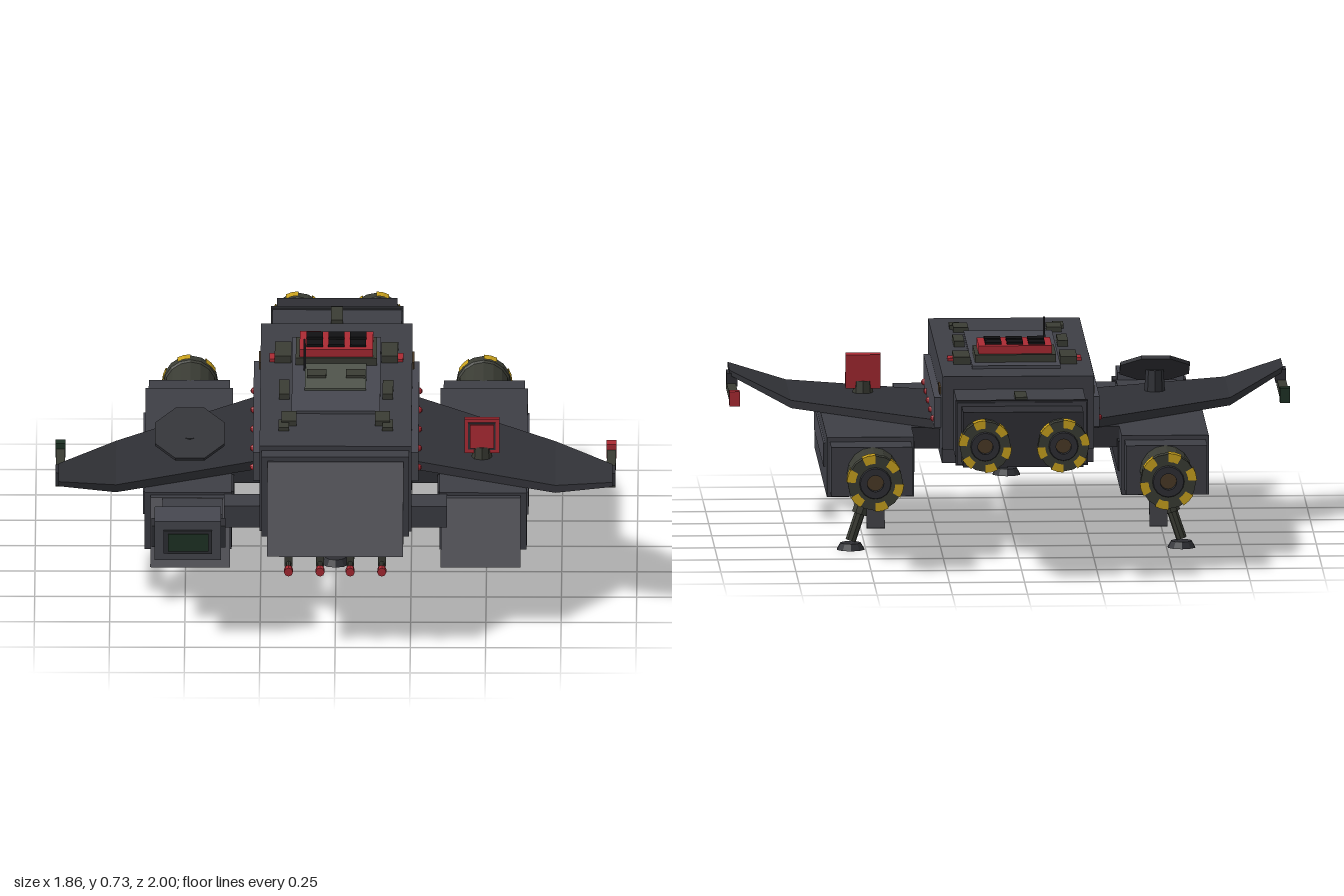
import * as THREE from 'three';

const mat = (color) => new THREE.MeshStandardMaterial({ color, flatShading: true, side: THREE.DoubleSide });
const HULL = mat(0x3d3e45), DARK = mat(0x2e2f34), WING = mat(0x303136), PANEL = mat(0x46474f),
  OLIVE = mat(0x3a3c34), DECK = mat(0x4f544b), RED = mat(0xaa2a33), YELLOW = mat(0xc8a11e),
  BLACK = mat(0x111113), GREEN = mat(0x1f3326), BROWN = mat(0x4a3a26);

function add(parent, name, geometry, material) {
  const mesh = new THREE.Mesh(geometry, material);
  mesh.name = name;
  parent.add(mesh);
  return mesh;
}

// Box given by its limits on each axis
function box(parent, name, material, [x0, x1], [y0, y1], [z0, z1]) {
  const m = add(parent, name, new THREE.BoxGeometry(x1 - x0, y1 - y0, z1 - z0), material);
  m.position.set((x0 + x1) / 2, (y0 + y1) / 2, (z0 + z1) / 2);
  return m;
}

// Side profile of [z, y] points swept across x
function profile(parent, name, material, [x0, x1], points) {
  const shape = new THREE.Shape(points.map(([z, y]) => new THREE.Vector2(z, y)));
  const g = new THREE.ExtrudeGeometry(shape, { depth: x1 - x0, bevelEnabled: false });
  g.rotateY(-Math.PI / 2).translate(x1, 0, 0);
  return add(parent, name, g, material);
}

// Round bar between two points
function rod(parent, name, material, a, b, r0, r1 = r0, sides = 8) {
  const from = new THREE.Vector3(...a), to = new THREE.Vector3(...b), dir = to.clone().sub(from);
  const m = add(parent, name, new THREE.CylinderGeometry(r1, r0, dir.length(), sides), material);
  m.position.copy(from).add(to).multiplyScalar(0.5);
  m.quaternion.setFromUnitVectors(new THREE.Vector3(0, 1, 0), dir.normalize());
  return m;
}

const lathe = (pts, sides, start = 0, length = Math.PI * 2) =>
  new THREE.LatheGeometry(pts.map(([r, y]) => new THREE.Vector2(r, y)), sides, start, length);

// Engine with a recessed nozzle and striped rear collar, pointing to -z
function engine(parent, x, y, z, r, len) {
  const g = new THREE.Group();
  g.name = 'engine';
  g.position.set(x, y, z);
  g.rotation.x = -Math.PI / 2;
  parent.add(g);
  add(g, 'engineBarrel', lathe([[r * 0.93, 0], [r * 0.93, len - 0.05], [r, len - 0.045], [r, len - 0.004],
    [r * 0.5, len - 0.004], [r * 0.4, len - 0.04], [0, len - 0.04]], 16), OLIVE);
  add(g, 'nozzleRing', lathe([[r * 0.3, len - 0.03], [r * 0.3, len + 0.006], [r * 0.55, len + 0.006], [r * 0.6, len - 0.01]], 16), DARK);
  add(g, 'nozzleCore', lathe([[0, len - 0.02], [r * 0.3, len - 0.02]], 16), BROWN);
  for (let i = 0; i < 6; i++) {
    add(g, 'hazardStripe', lathe([[r * 0.72, len], [r + 0.003, len], [r + 0.003, len - 0.042]], 2,
      (i * Math.PI) / 3, Math.PI / 6.5), YELLOW);
  }
}

// Wing lofted through sections of [x, leading z, trailing z, y, thickness]
function wing(parent) {
  const sections = [[0.24, -0.3, 0.35, 0.415, 0.03], [0.73, 0.16, 0.595, 0.415, 0.026], [0.92, 0.51, 0.69, 0.465, 0.016]];
  const pos = [], idx = [];
  for (const [x, zl, zt, y, t] of sections) {
    pos.push(x, y - t / 2, zl, x, y + t / 2, zl, x, y + t / 2, zt, x, y - t / 2, zt);
  }
  for (let s = 0; s < 2; s++) {
    for (let k = 0; k < 4; k++) {
      const a = s * 4 + k, b = s * 4 + ((k + 1) % 4);
      idx.push(a, b, b + 4, a, b + 4, a + 4);
    }
  }
  idx.push(0, 3, 2, 0, 2, 1, 8, 9, 10, 8, 10, 11);
  const g = new THREE.BufferGeometry();
  g.setAttribute('position', new THREE.Float32BufferAttribute(pos, 3));
  g.setIndex(idx);
  g.computeVertexNormals();
  add(parent, 'wing', g, WING);
}

// Leg with a strut and a round foot
function landingGear(parent, top, foot) {
  const [x, y, z] = foot;
  const ankle = [x, y + 0.03, z];
  const mid = top.map((v, i) => (v + ankle[i]) / 2);
  rod(parent, 'legUpper', OLIVE, top, mid, 0.027);
  rod(parent, 'legLower', OLIVE, mid, ankle, 0.018);
  rod(parent, 'foot', DARK, [x, y, z], [x, y + 0.022, z], 0.048, 0.035, 10);
}

// Everything that exists on both sides
function buildSide(name, tipMaterial) {
  const g = new THREE.Group();
  g.name = name;
  wing(g);
  // Wing tip lance
  box(g, 'tipLance', OLIVE, [0.9, 0.93], [0.405, 0.43], [0.24, 0.55]);
  box(g, 'tipMount', DARK, [0.895, 0.93], [0.42, 0.465], [0.5, 0.58]);
  box(g, 'tipLight', tipMaterial, [0.898, 0.932], [0.4, 0.45], [0.21, 0.25]);
  // Nacelle
  box(g, 'nacelleBody', HULL, [0.345, 0.635], [0.2, 0.4], [-0.44, 0.59]);
  box(g, 'nacelleRear', HULL, [0.355, 0.625], [0.22, 0.385], [-0.56, -0.44]);
  profile(g, 'nacelleNose', HULL, [0.35, 0.615], [[0.59, 0.2], [0.77, 0.2], [0.615, 0.39], [0.59, 0.39]]);
  box(g, 'nacelleSidePanel', PANEL, [0.63, 0.641], [0.28, 0.36], [-0.31, 0.47]);
  box(g, 'nacelleInnerPanel', DARK, [0.338, 0.35], [0.26, 0.36], [-0.31, 0.47]);
  engine(g, 0.487, 0.3, -0.55, 0.092, 0.235);
  landingGear(g, [0.49, 0.21, -0.29], [0.55, 0, -0.295]);
  const door = box(g, 'gearDoor', DARK, [0.44, 0.5], [0.08, 0.2], [-0.368, -0.36]);
  door.rotation.x = 0.42;
  // Links to the hull
  box(g, 'frontStrut', HULL, [0.22, 0.37], [0.32, 0.395], [0.59, 0.71]);
  box(g, 'rearStrut', DARK, [0.24, 0.36], [0.33, 0.4], [-0.25, 0.3]);
  // Hull side rail and lamps
  box(g, 'sideRail', PANEL, [0.24, 0.275], [0.42, 0.52], [-0.37, 0.53]);
  for (let i = 0; i < 5; i++) {
    const lamp = add(g, 'sideLamp', new THREE.SphereGeometry(0.011, 8, 6), RED);
    lamp.position.set(0.275, 0.44, 0.45 - i * 0.188);
  }
  box(g, 'sideVent', BROWN, [0.24, 0.258], [0.53, 0.555], [-0.37, -0.26]);
  // Roof fittings
  box(g, 'roofFrontBlock', OLIVE, [0.13, 0.18], [0.6, 0.627], [0.42, 0.52]);
  box(g, 'roofFrontFoot', OLIVE, [0.155, 0.19], [0.6, 0.622], [0.49, 0.57]);
  box(g, 'roofMidBlock', OLIVE, [0.155, 0.19], [0.6, 0.63], [0.12, 0.26]);
  box(g, 'roofRearBlock', OLIVE, [0.15, 0.205], [0.6, 0.635], [-0.24, -0.1]);
  box(g, 'roofLamp', RED, [0.205, 0.222], [0.6, 0.62], [-0.17, -0.11]);
  box(g, 'deckHatch', OLIVE, [0.033, 0.097], [0.62, 0.637], [0.035, 0.097]);
  // Rear thruster
  engine(g, 0.13, 0.455, -0.88, 0.085, 0.113);
  return g;
}

export function createModel() {
  const model = new THREE.Group();
  model.name = 'gunship';

  // Central hull
  box(model, 'hull', HULL, [-0.252, 0.252], [0.31, 0.61], [-0.43, 0.72]);
  box(model, 'hullRearStep', HULL, [-0.252, 0.252], [0.365, 0.61], [-0.49, -0.43]);
  box(model, 'noseCollar', HULL, [-0.245, 0.245], [0.315, 0.595], [0.72, 0.785]);
  profile(model, 'nose', HULL, [-0.226, 0.226], [[0.75, 0.32], [1, 0.32], [0.79, 0.58], [0.75, 0.58]]);
  box(model, 'tailSection', HULL, [-0.215, 0.215], [0.36, 0.567], [-0.77, -0.48]);
  box(model, 'tailEnd', DARK, [-0.2, 0.2], [0.37, 0.555], [-0.895, -0.77]);
  box(model, 'tailRim', DARK, [-0.22, 0.22], [0.355, 0.573], [-0.765, -0.745]);
  box(model, 'tailSpine', OLIVE, [-0.02, 0.02], [0.56, 0.58], [-0.74, -0.61]);
  for (let i = 0; i < 4; i++) {
    box(model, 'bellyVent', BLACK, [-0.05, 0.05], [0.303, 0.312], [-0.12 + i * 0.05, -0.09 + i * 0.05]);
  }

  // Roof deck
  box(model, 'roofPlate', PANEL, [-0.147, 0.147], [0.605, 0.62], [-0.33, 0.4]);
  box(model, 'greenDeck', DECK, [-0.104, 0.1], [0.61, 0.627], [-0.06, 0.2]);
  box(model, 'hatchBase', OLIVE, [-0.135, 0.135], [0.61, 0.645], [-0.26, -0.05]);
  box(model, 'hatchFrame', RED, [-0.122, 0.122], [0.645, 0.672], [-0.24, -0.062]);
  for (const x of [-0.072, 0, 0.072]) {
    for (const z of [-0.188, -0.112]) {
      box(model, 'hatchCell', BLACK, [x - 0.027, x + 0.027], [0.66, 0.68], [z - 0.027, z + 0.027]);
    }
  }
  rod(model, 'antenna', DARK, [-0.105, 0.61, 0], [-0.105, 0.73, 0], 0.005, 0.004, 6);

  // Chin guns
  for (const x of [-0.155, -0.05, 0.05, 0.155]) {
    rod(model, 'gunBarrel', OLIVE, [x, 0.26, 0.76], [x, 0.26, 0.965], 0.009);
    rod(model, 'gunMuzzle', RED, [x, 0.26, 0.955], [x, 0.26, 0.985], 0.015);
    box(model, 'gunMount', OLIVE, [x - 0.013, x + 0.013], [0.25, 0.325], [0.77, 0.9]);
  }
  landingGear(model, [0, 0.31, 0.45], [0, 0.12, 0.5]);

  // Both sides
  model.add(buildSide('leftSide', RED));
  const right = buildSide('rightSide', GREEN);
  right.scale.x = -1;
  model.add(right);

  // Sensor box ahead of the right nacelle
  box(model, 'sensorNeck', HULL, [-0.575, -0.375], [0.29, 0.39], [0.62, 0.78]);
  box(model, 'sensorBox', PANEL, [-0.6, -0.38], [0.28, 0.415], [0.77, 0.92]);
  box(model, 'sensorSides', DARK, [-0.61, -0.365], [0.31, 0.385], [0.8, 0.88]);
  box(model, 'sensorWindowFrame', DARK, [-0.57, -0.41], [0.305, 0.385], [0.91, 0.93]);
  box(model, 'sensorWindow', GREEN, [-0.555, -0.42], [0.315, 0.375], [0.92, 0.935]);

  // Tilted dish on the right wing
  rod(model, 'dishPost', DARK, [-0.485, 0.42, 0.31], [-0.485, 0.5, 0.31], 0.035, 0.03);
  const dish = add(model, 'dish', new THREE.CylinderGeometry(0.125, 0.125, 0.012, 8).rotateY(Math.PI / 8), WING);
  dish.position.set(-0.485, 0.505, 0.31);
  dish.rotation.x = 0.47;

  // Red panel on the left wing
  rod(model, 'panelPost', OLIVE, [0.485, 0.42, 0.315], [0.485, 0.47, 0.315], 0.035, 0.03);
  const panel = new THREE.Group();
  panel.name = 'redPanel';
  panel.position.set(0.485, 0.503, 0.31);
  panel.rotation.x = -0.1;
  box(panel, 'panelPlate', RED, [-0.058, 0.058], [-0.058, 0.058], [-0.017, 0.013]);
  box(panel, 'panelRecess', DARK, [-0.046, 0.046], [-0.046, 0.046], [0.005, 0.016]);
  box(panel, 'panelFace', RED, [-0.04, 0.04], [-0.04, 0.04], [0.01, 0.024]);
  model.add(panel);

  return model;
}
